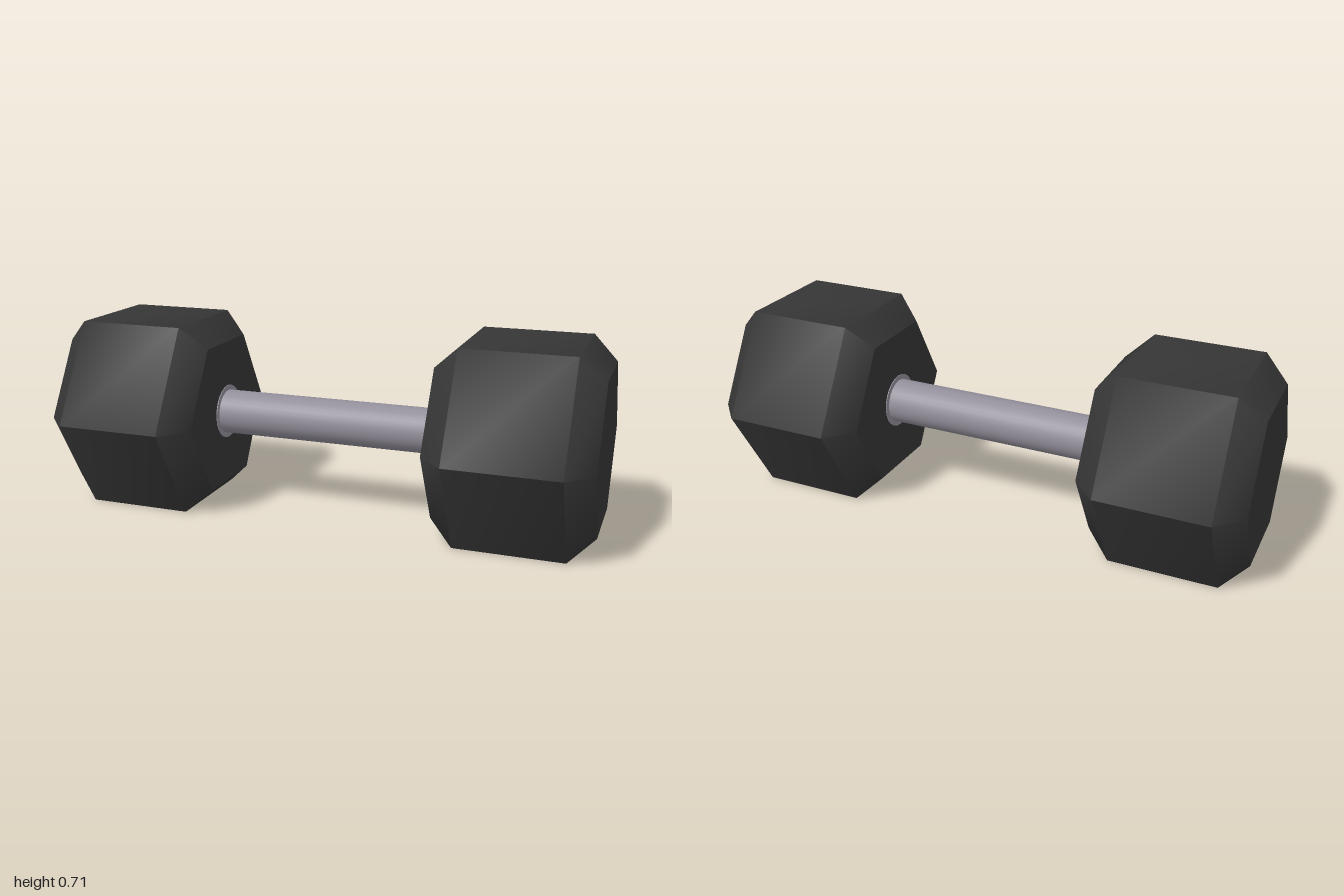
import * as THREE from 'three';
import { toCreasedNormals } from 'three/addons/utils/BufferGeometryUtils.js';

const APOTHEM = 0.3535, RADIUS = 0.408, FACE_RADIUS = 0.312;
const HEAD_LENGTH = 0.575, BEVEL = 0.09, HEAD_X = 0.7125;

export function createModel() {
  const rubber = new THREE.MeshStandardMaterial({ color: 0x363636 });
  rubber.name = 'darkRubber';
  const steel = new THREE.MeshStandardMaterial({ color: 0x938f9b });
  steel.name = 'greySteel';

  const model = new THREE.Group();
  model.name = 'dumbbell';
  const add = (name, geometry, material, x = 0) => {
    const mesh = new THREE.Mesh(geometry, material);
    mesh.name = name;
    mesh.position.set(x, APOTHEM, 0);
    model.add(mesh);
  };

  // Bevelled hexagonal head, softened across the bevels
  const h = HEAD_LENGTH / 2;
  const profile = [
    [0, -h], [FACE_RADIUS, -h], [RADIUS, -h + BEVEL],
    [RADIUS, h - BEVEL], [FACE_RADIUS, h], [0, h],
  ].map(([r, y]) => new THREE.Vector2(r, y));
  const headGeometry = toCreasedNormals(
    new THREE.LatheGeometry(profile, 6).rotateZ(Math.PI / 2), Math.PI / 4);

  // Thin ring where the bar enters each head
  const collarGeometry = new THREE.CylinderGeometry(0.102, 0.102, 0.006, 24).rotateZ(Math.PI / 2);

  for (const [side, s] of [['left', 1], ['right', -1]]) {
    add(side + 'Head', headGeometry, rubber, s * HEAD_X);
    add(side + 'Collar', collarGeometry, steel, s * (HEAD_X - h));
  }

  // Round bar joining the heads
  add('handle', new THREE.CylinderGeometry(0.083, 0.083, 0.9, 32, 1, true).rotateZ(Math.PI / 2), steel);

  return model;
}
